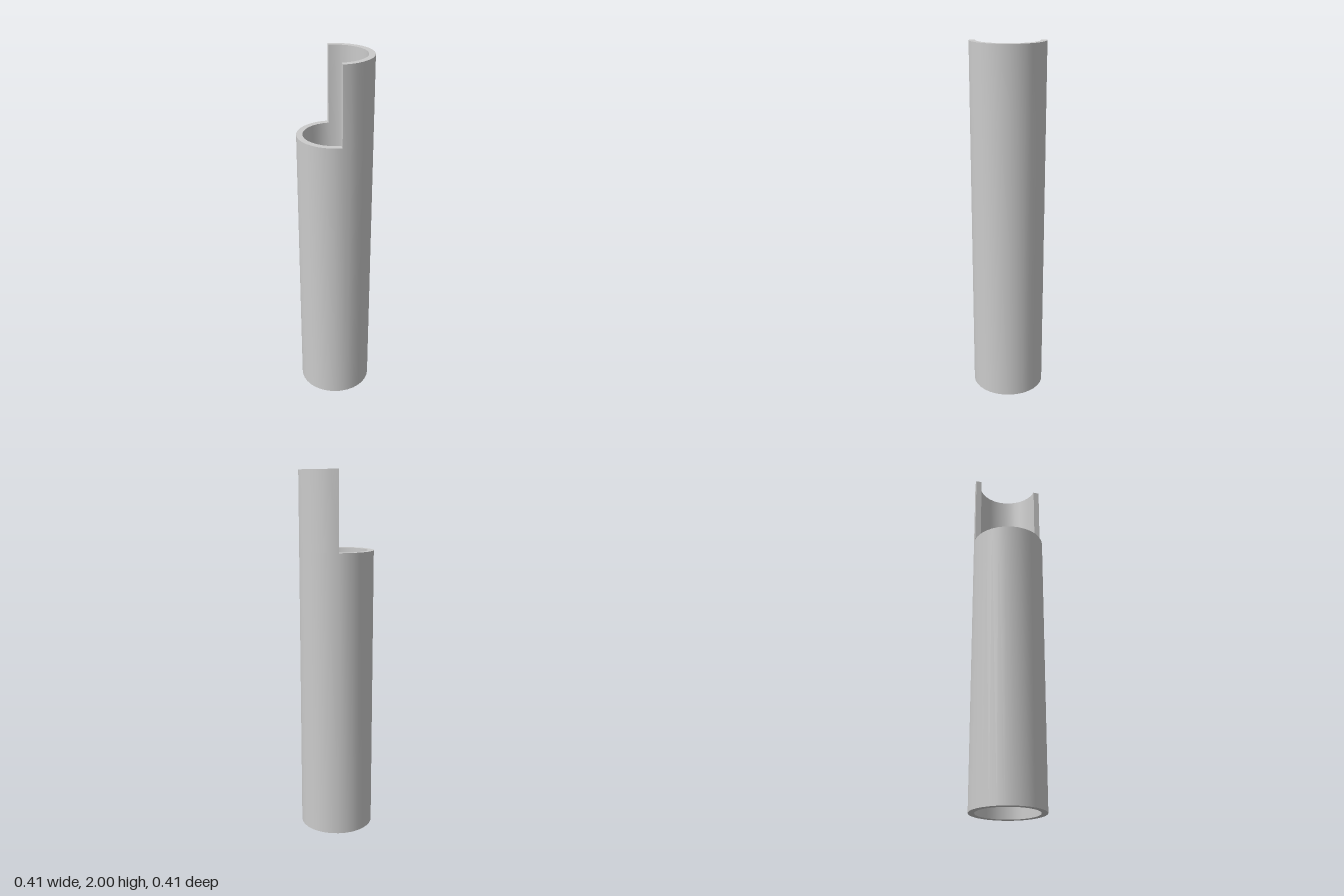
import * as THREE from 'three';
import { mergeGeometries, toCreasedNormals } from 'three/addons/utils/BufferGeometryUtils.js';

const OUTER = 0.203, INNER = 0.17, STEP = 1.578, TOP = 2;

// Half of the tube wall, swept 180 degrees; a joint at the step keeps both halves matched.
function halfTube(phiStart, height) {
  const profile = [[INNER, 0], [OUTER, 0], [OUTER, STEP]];
  if (height > STEP) profile.push([OUTER, height], [INNER, height]);
  profile.push([INNER, STEP], [INNER, 0]);
  return new THREE.LatheGeometry(profile.map(([r, y]) => new THREE.Vector2(r, y)), 16, phiStart, Math.PI);
}

// Flat cut edge of the tall half, facing -x.
function cutEdge(side) {
  return new THREE.PlaneGeometry(OUTER - INNER, TOP - STEP)
    .rotateY(-Math.PI / 2)
    .translate(0, (TOP + STEP) / 2, side * (OUTER + INNER) / 2);
}

export function createModel() {
  const group = new THREE.Group();
  group.name = 'notchedTube';

  const geometry = mergeGeometries([
    halfTube(0, TOP),         // tall half, +x
    halfTube(Math.PI, STEP),  // short half, -x
    cutEdge(1),
    cutEdge(-1),
  ]);
  const tube = new THREE.Mesh(
    toCreasedNormals(geometry, Math.PI / 4),
    new THREE.MeshStandardMaterial({ color: 0xcccccc })
  );
  tube.name = 'tubeWall';
  group.add(tube);
  return group;
}
